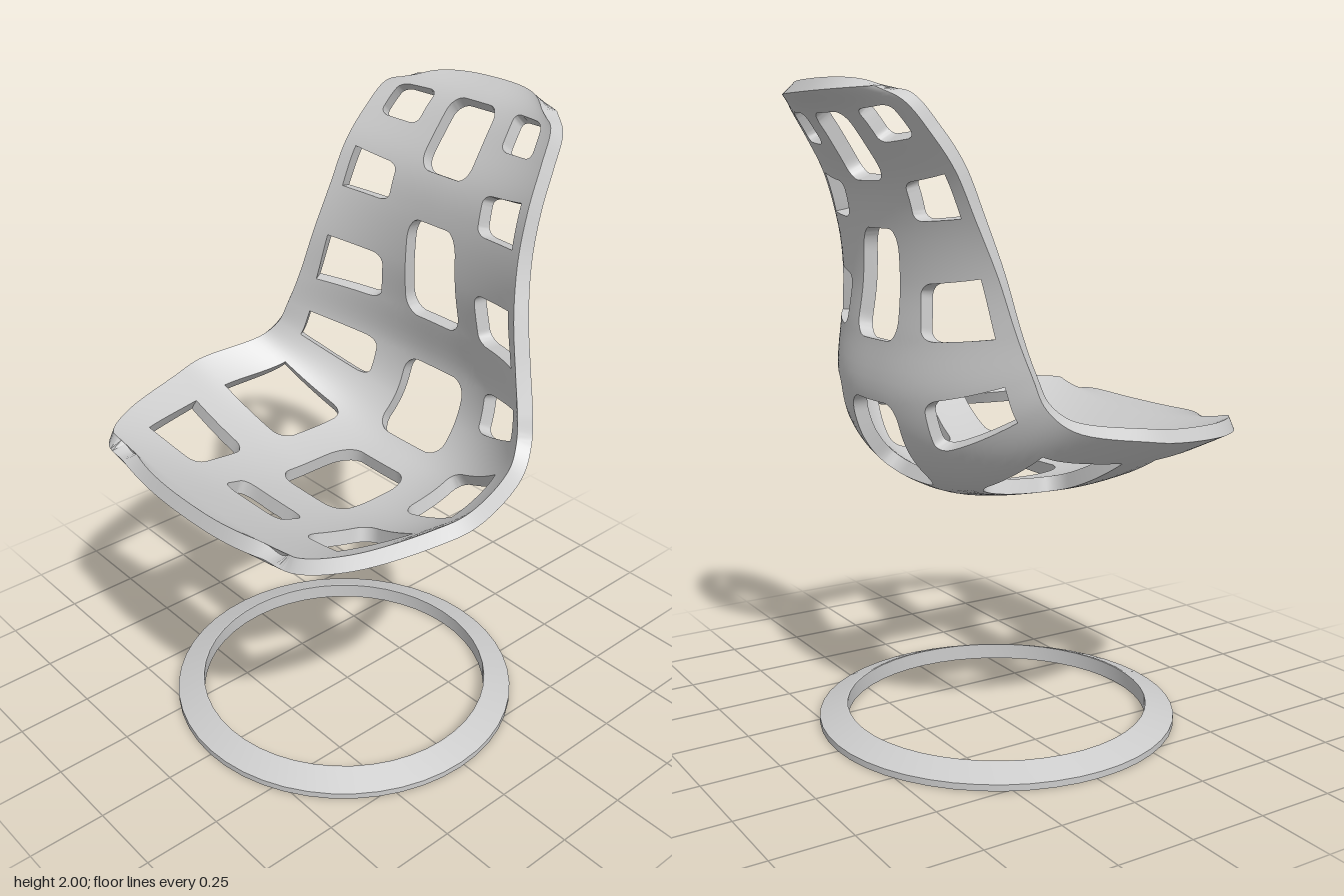
import * as THREE from 'three';
import { mergeVertices, toCreasedNormals } from 'three/addons/utils/BufferGeometryUtils.js';

// Shell stations from front lip to top of back: centre x, y, then edge x, y, half width
const STATIONS = [
  [-0.63, 0.94, -0.61, 0.965, 0.35], [-0.57, 0.912, -0.59, 0.965, 0.46],
  [-0.4, 0.845, -0.47, 0.97, 0.56], [-0.18, 0.785, -0.23, 0.99, 0.645],
  [-0.02, 0.77, -0.1, 1.01, 0.67], [0.25, 0.8, 0.13, 1.055, 0.62],
  [0.38, 0.92, 0.2, 1.12, 0.585], [0.43, 1.09, 0.225, 1.2, 0.56],
  [0.41, 1.27, 0.25, 1.31, 0.52], [0.39, 1.43, 0.28, 1.47, 0.47],
  [0.395, 1.6, 0.325, 1.62, 0.43], [0.42, 1.71, 0.375, 1.75, 0.41],
  [0.485, 1.82, 0.435, 1.845, 0.39], [0.555, 1.91, 0.5, 1.93, 0.36],
  [0.63, 1.965, 0.55, 1.97, 0.29],
];
const LAST = STATIONS.length - 1;
const THICKNESS = 0.045;
const SPLIT = 0.36; // border between the centre column and the side columns
const PER_STATION = 8, ACROSS = 16;

const centreLine = new THREE.CatmullRomCurve3(STATIONS.map(s => new THREE.Vector3(s[0], s[1], 0)));
const edgeLine = new THREE.CatmullRomCurve3(STATIONS.map(s => new THREE.Vector3(s[2], s[3], s[4])));

// Outer surface of the shell: u along the stations, v across from -1 to 1
function surface(u, v) {
  const t = THREE.MathUtils.clamp(u / LAST, 0, 1);
  const c = centreLine.getPoint(t), e = edgeLine.getPoint(t);
  const k = Math.abs(v) ** 2.4;
  return new THREE.Vector3(c.x + (e.x - c.x) * k, c.y + (e.y - c.y) * k, e.z * v);
}

function sample([u, v]) {
  const d = 0.02, p = surface(u, v);
  const du = surface(Math.min(u + d, LAST), v).sub(surface(Math.max(u - d, 0), v));
  const dv = surface(u, v + d).sub(surface(u, v - d));
  const n = du.cross(dv).normalize();
  return { outer: p, inner: p.clone().addScaledVector(n, -THICKNESS), n };
}

// Collects both skins (with smooth normals) and the cut walls
function shellBuilder() {
  const pos = [], nor = [], wallPos = [];
  const tri = (a, b, c) => {
    for (const s of [a, b, c]) { pos.push(...s.outer); nor.push(...s.n); }
    for (const s of [a, c, b]) { pos.push(...s.inner); nor.push(-s.n.x, -s.n.y, -s.n.z); }
  };
  return {
    quad(a, b, c, d) { tri(a, b, c); tri(a, c, d); },
    wall(a, b) {
      for (const p of [a.outer, b.outer, b.inner, a.outer, b.inner, a.inner]) wallPos.push(...p);
    },
    skin() {
      const g = new THREE.BufferGeometry();
      g.setAttribute('position', new THREE.Float32BufferAttribute(pos, 3));
      g.setAttribute('normal', new THREE.Float32BufferAttribute(nor, 3));
      return mergeVertices(g);
    },
    walls() {
      const g = new THREE.BufferGeometry();
      g.setAttribute('position', new THREE.Float32BufferAttribute(wallPos, 3));
      return toCreasedNormals(g, 0.7);
    },
  };
}

// Points around the square from -1 to 1, counter-clockwise
function squareLoop(na, nb) {
  const pts = [];
  for (let i = 0; i < na; i++) pts.push([-1 + 2 * i / na, -1]);
  for (let i = 0; i < nb; i++) pts.push([1, -1 + 2 * i / nb]);
  for (let i = 0; i < na; i++) pts.push([1 - 2 * i / na, 1]);
  for (let i = 0; i < nb; i++) pts.push([-1, 1 - 2 * i / nb]);
  return pts;
}

// Rounds corners of the square; side limits rounding to one v side (0 = all corners)
function roundCorner([a, b], side, r = 0.42) {
  const x = Math.abs(a) - (1 - r), y = Math.abs(b) - (1 - r);
  if (x <= 0 || y <= 0 || (side && Math.sign(b) !== side)) return [a, b];
  const f = r / Math.hypot(x, y);
  return [Math.sign(a) * (1 - r + x * f), Math.sign(b) * (1 - r + y * f)];
}

const place = ([u0, u1, v0, v1], [a, b]) =>
  [(u0 + u1) / 2 + a * (u1 - u0) / 2, (v0 + v1) / 2 + b * (v1 - v0) / 2];

function solidCell(shell, cell) {
  const na = Math.round((cell[1] - cell[0]) * PER_STATION);
  const at = (i, j) => sample(place(cell, [-1 + 2 * i / na, -1 + 2 * j / ACROSS]));
  for (let i = 0; i < na; i++)
    for (let j = 0; j < ACROSS; j++)
      shell.quad(at(i, j), at(i + 1, j), at(i + 1, j + 1), at(i, j + 1));
}

function holeCell(shell, cell, hole, side) {
  const loop = squareLoop(Math.round((cell[1] - cell[0]) * PER_STATION), ACROSS);
  const RINGS = 3;
  const rings = [];
  for (let k = 0; k <= RINGS; k++) {
    rings.push(loop.map(p => {
      const o = place(cell, p), h = place(hole, roundCorner(p, side)), t = k / RINGS;
      return sample([o[0] + (h[0] - o[0]) * t, o[1] + (h[1] - o[1]) * t]);
    }));
  }
  loop.forEach((_, i) => {
    const j = (i + 1) % loop.length;
    for (let k = 0; k < RINGS; k++)
      shell.quad(rings[k][i], rings[k][j], rings[k + 1][j], rings[k + 1][i]);
    shell.wall(rings[RINGS][i], rings[RINGS][j]);
  });
}

// Cell start, cell end, hole start, hole end, inner v, outer v
const SIDE_HOLES = [
  [1.5, 3.5, 2, 3, 0.48, 0.85], [3.5, 5.5, 4, 5, 0.45, 0.85],
  [5.5, 7.5, 6.05, 7, 0.47, 0.89], [7.5, 9.5, 8, 9, 0.45, 0.9],
  [9.5, 11.5, 10.05, 11, 0.47, 0.9], [11.5, 13.5, 12, 13, 0.47, 0.85],
];
const CENTRE_HOLES = [
  [1.5, 2.75, 2, 2.43, 0.245], [2.75, 4.875, 3.05, 4.6, 0.235],
  [4.875, 7.5, 5.2, 6.95, 0.25], [7.5, 10.5, 7.95, 9.9, 0.245],
  [10.5, 13.5, 11.1, 13, 0.26],
];

function buildShell(material) {
  const shell = shellBuilder();
  // Solid lips at the front and the top
  for (const [u0, u1] of [[0, 1.5], [13.5, LAST]])
    for (const [v0, v1] of [[-1, -SPLIT], [-SPLIT, SPLIT], [SPLIT, 1]])
      solidCell(shell, [u0, u1, v0, v1]);
  for (const [u0, u1, h0, h1, v] of CENTRE_HOLES)
    holeCell(shell, [u0, u1, -SPLIT, SPLIT], [h0, h1, -v, v], 0);
  // Side openings, rounded towards the middle; the top pair is rounded all over
  SIDE_HOLES.forEach(([u0, u1, h0, h1, vi, vo], i) => {
    const all = i === SIDE_HOLES.length - 1;
    holeCell(shell, [u0, u1, SPLIT, 1], [h0, h1, vi, vo], all ? 0 : -1);
    holeCell(shell, [u0, u1, -1, -SPLIT], [h0, h1, -vo, -vi], all ? 0 : 1);
  });
  // Outer rim
  const rim = squareLoop(LAST * PER_STATION, 48).map(p => sample(place([0, LAST, -1, 1], p)));
  rim.forEach((s, i) => shell.wall(rim[(i + 1) % rim.length], s));

  const group = new THREE.Group();
  group.name = 'seatShell';
  const skin = new THREE.Mesh(shell.skin(), material);
  skin.name = 'shellSkin';
  const walls = new THREE.Mesh(shell.walls(), material);
  walls.name = 'shellEdges';
  group.add(skin, walls);
  return group;
}

function buildBaseRing(material) {
  const profile = [[0.485, 0], [0.575, 0], [0.575, 0.02], [0.49, 0.052], [0.485, 0.052], [0.485, 0]]
    .map(([r, y]) => new THREE.Vector2(r, y));
  const geometry = toCreasedNormals(new THREE.LatheGeometry(profile, 48), 0.3);
  const ring = new THREE.Mesh(geometry, material);
  ring.name = 'baseRing';
  ring.position.x = -0.015;
  return ring;
}

export function createModel() {
  const material = new THREE.MeshStandardMaterial({ color: 0xcccccc });
  const model = new THREE.Group();
  model.name = 'shellChair';
  model.add(buildShell(material), buildBaseRing(material));
  return model;
}
